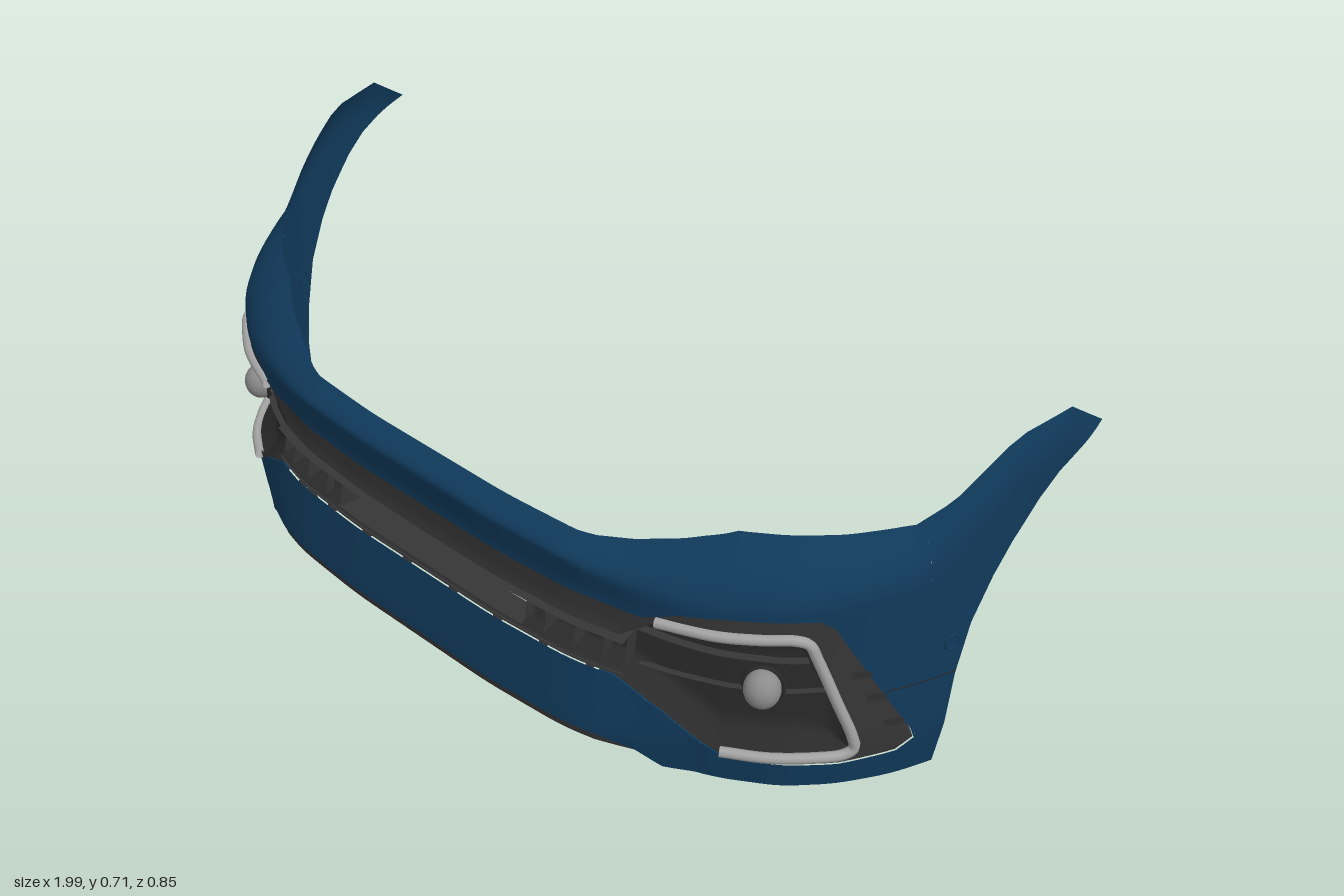
import * as THREE from 'three';

const mat = (name, color) => {
  const m = new THREE.MeshStandardMaterial({ color, side: THREE.DoubleSide });
  m.name = name;
  return m;
};

// Piecewise linear lookup in a table of [station, value]
function look(t, s) {
  if (s <= t[0][0]) return t[0][1];
  for (let i = 1; i < t.length; i++) {
    if (s <= t[i][0]) {
      const [a, va] = t[i - 1], [b, vb] = t[i];
      return va + (vb - va) * (s - a) / (b - a);
    }
  }
  return t[t.length - 1][1];
}

// Plan of the wrap-around: station s = x + 0.4 - z, from the centre to the fender tip
const PLAN = [[0, 0], [.2, .2], [.415, .4], [.54, .5], [.67, .6], [.815, .7], [.985, .8], [1.14, .87],
  [1.295, .925], [1.43, .96], [1.56, .98], [1.692, .992], [1.825, 1], [1.95, 1.003]];
// Edge heights along the station
const TOP = [[0, .465], [.45, .465], [.54, .475], [.67, .5], [.815, .53], [1.14, .548], [1.33, .56], [1.4, .595],
  [1.5, .655], [1.555, .685], [1.6, .7], [1.725, .711], [1.825, .646]];
const BOTTOM = [[0, .055], [.5, .055], [.6, .04], [.67, .01], [.9, .008], [1.42, 0], [1.43, .1], [1.445, .22],
  [1.475, .33], [1.525, .42], [1.57, .48], [1.638, .55], [1.692, .59], [1.747, .615], [1.825, .645]];
const OPEN_TOP = [[0, .35], [.6, .35], [.7, .385], [.815, .4], [1, .41], [1.06, .41], [1.1, .393], [1.33, .12], [1.345, .09]];
const OPEN_BOTTOM = [[0, .2], [.54, .2], [.67, .15], [.76, .1], [.83, .07], [1.14, .06], [1.3, .067], [1.345, .09]];
const SEAM_TOP = [[0, .28], [.54, .285], [.64, .348], [1, .37], [1.04, .355], [1.175, .12], [1.18, .09]];
const SEAM_BOTTOM = [[0, .215], [.56, .212], [.68, .155], [.8, .085], [1.18, .085]];
// Section shape: inward lean near the top edge and the profile of the centre and the sides
const LEAN = [[0, .045], [.4, .045], [.6, .075], [.815, .1], [1, .09], [1.3, .055], [1.43, .03], [1.825, .01]];
const SPAN = [[0, .03], [.4, .04], [.8, .13], [1.8, .08]];
const CENTRE = [[.03, -.02], [.06, -.025], [.2, -.005], [.3, .015], [.37, .01], [.43, -.004], [.46, 0]];
const SIDE = [[0, .014], [.1, 0]];

function planX(s) {
  let sum = 0;
  for (let i = -3; i <= 3; i++) {
    const q = s + i * .015;
    sum += Math.sign(q) * look(PLAN, Math.abs(q));
  }
  return sum / 7;
}

// Point on the outer surface, pushed inwards by inset
function surf(s, y, inset = 0) {
  const x = planX(s), z = x + .4 - s, e = .01;
  const dx = planX(s + e) - planX(s - e), dz = dx - 2 * e, l = Math.hypot(dx, dz);
  const c = THREE.MathUtils.clamp((.75 - s) / .25, 0, 1);
  const span = look(SPAN, s);
  const k = Math.max(0, (y - look(TOP, s) + span) / span);
  const d = inset + c * look(CENTRE, y) + (1 - c) * look(SIDE, y) + look(LEAN, s) * Math.min(k, 1) ** 2;
  return new THREE.Vector3(Math.min(1, x + dz / l * d), y, z - dx / l * d);
}

// Smooth sheet through fn(u, v) for the given u values and a number of rows
function sheet(name, us, rows, fn, material) {
  const pos = [], idx = [];
  us.forEach((u, i) => {
    for (let j = 0; j <= rows; j++) {
      pos.push(...fn(u, j / rows).toArray());
      if (i && j) {
        const a = (i - 1) * (rows + 1) + j - 1, b = a + rows + 1;
        idx.push(a, b, b + 1, a, b + 1, a + 1);
      }
    }
  });
  const g = new THREE.BufferGeometry();
  g.setAttribute('position', new THREE.Float32BufferAttribute(pos, 3));
  g.setIndex(idx);
  g.computeVertexNormals();
  const m = new THREE.Mesh(g, material);
  m.name = name;
  return m;
}

function stations(s0, s1, ...tables) {
  const n = Math.max(2, Math.ceil((s1 - s0) / .025));
  const list = Array.from({ length: n + 1 }, (_, i) => s0 + (s1 - s0) * i / n);
  tables.forEach(t => t.forEach(([s]) => { if (s > s0 && s < s1) list.push(s); }));
  return [...new Set(list)].sort((a, b) => a - b);
}

// Band of skin between two edge tables
const band = (name, s0, s1, low, high, rows, material, inset = () => 0) =>
  sheet(name, stations(s0, s1, low, high), rows, (s, v) => {
    const y = THREE.MathUtils.lerp(look(low, s), look(high, s), v);
    return surf(s, y, inset(s, v));
  }, material);

// Level ledge reaching from inset a to inset b
const ledge = (name, s0, s1, edge, a, b, material) =>
  sheet(name, stations(s0, s1, edge), 2, (s, v) => surf(s, look(edge, s), a + (b - a) * v), material);

// Upright rib at one station
const rib = (name, s, y0, y1, a, b, material) =>
  sheet(name, [0, 1], 1, (u, v) => surf(s, y0 + (y1 - y0) * u, a + (b - a) * v), material);

export function createModel() {
  const paint = mat('blue paint', 0x10395a);
  const trim = mat('dark grey plastic', 0x363636);
  const recess = mat('black plastic', 0x292929);
  const chrome = mat('bright trim', 0xa4a4a4);
  const glass = mat('lamp glass', 0x8c8c8c);
  const level = y => [[0, y]];
  const half = new THREE.Group();
  half.name = 'leftHalf';

  // Painted skin
  half.add(
    band('upperSkin', 0, 1.345, OPEN_TOP, TOP, 18, paint),
    band('lowerSkin', 0, 1.345, BOTTOM, OPEN_BOTTOM, 8, paint),
    band('fenderSkin', 1.345, 1.825, BOTTOM, TOP, 18, paint),
    ledge('chinReturn', .5, .86, OPEN_BOTTOM, 0, .09, paint));

  // Dark surround and recessed lamp pocket
  half.add(
    band('upperSurround', 0, 1.18, SEAM_TOP, OPEN_TOP, 4, trim, () => .004),
    band('lowerSurround', 0, 1.18, OPEN_BOTTOM, SEAM_BOTTOM, 2, trim, () => .004),
    band('rearSurround', 1.18, 1.345, OPEN_BOTTOM, OPEN_TOP, 4, trim, () => .004),
    band('lampPocket', .285, 1.18, SEAM_BOTTOM, SEAM_TOP, 16, recess, (s, v) =>
      .004 + .045 * Math.min(1, 7 * Math.min(v, 1 - v)) * Math.min(1, (1.18 - s) / .05)));

  // Grille ledges and ribs
  half.add(
    ledge('grilleUpperLedge', 0, .56, level(.28), -.012, .06, trim),
    ledge('grilleLowerLedge', 0, .56, level(.207), 0, .07, trim),
    ledge('pocketUpperFin', .56, 1.05, level(.29), .03, .055, trim),
    ledge('pocketLowerFin', .56, 1.1, level(.215), .035, .055, trim));
  for (const s of [.285, .34, .42, .5, .56]) half.add(rib('grilleRib', s, .207, .28, .01, .06, trim));
  for (const s of [.07, .2, .33, .46]) half.add(rib('lowerRib', s, .165, .207, .01, .05, trim));

  // Square sensor beside the grille opening
  const sensor = new THREE.Mesh(new THREE.BoxGeometry(.03, .035, .02), trim);
  sensor.name = 'sensor';
  sensor.position.copy(surf(.315, .248, .03));
  half.add(sensor);

  // Underside lip and tray
  half.add(
    band('lowerLip', 0, .6, level(.035), level(.056), 1, trim, () => .004),
    ledge('underTray', 0, .72, [[0, .036], [.6, .036], [.72, .02]], .004, .1, trim));

  // Side fins on the surround
  for (const [s, y] of [[1.18, .275], [1.225, .215], [1.28, .145]]) {
    for (const dy of [0, .006]) half.add(ledge('sideFin', s - .025, s + .025, level(y + dy), -.008, .012, recess));
  }

  // Bright C-shaped strip round the pocket
  const line = [[.64, .352], [.8, .36], [.92, .366], [1.0, .37], [1.035, .36], [1.06, .323], [1.12, .218], [1.17, .128],
    [1.177, .1], [1.15, .086], [1.08, .084], [.95, .084], [.82, .084]].map(([s, y]) => surf(s, y, -.001));
  const curve = new THREE.CatmullRomCurve3(line);
  const strip = new THREE.Mesh(new THREE.TubeGeometry(curve, 90, .011, 8), chrome);
  strip.name = 'lightStrip';
  half.add(strip);

  // Round fog lamp with bezel
  const lamp = new THREE.Group();
  lamp.name = 'fogLamp';
  const ball = new THREE.Mesh(new THREE.SphereGeometry(.036, 24, 16), glass);
  ball.name = 'lampLens';
  ball.scale.y = 1.12;
  const bezel = new THREE.Mesh(new THREE.TorusGeometry(.038, .005, 8, 28), recess);
  bezel.name = 'lampBezel';
  bezel.position.z = -.014;
  lamp.add(ball, bezel);
  lamp.position.copy(surf(.92, .235, .02));
  lamp.rotation.y = .55;
  half.add(lamp);

  // Round parking sensor and the seam on the fender
  const ring = new THREE.Mesh(new THREE.TorusGeometry(.016, .003, 6, 20), paint);
  ring.name = 'parkingSensor';
  ring.position.copy(surf(1.425, .3, 0));
  ring.rotation.y = Math.PI / 2 - .2;
  half.add(ring, band('fenderSeam', 1.25, 1.444, level(.226), level(.229), 1, recess, () => -.002));

  // Mirror to the other side
  const other = half.clone();
  other.name = 'rightHalf';
  other.scale.x = -1;
  const model = new THREE.Group();
  model.name = 'frontBumper';
  model.add(half, other);
  return model;
}
